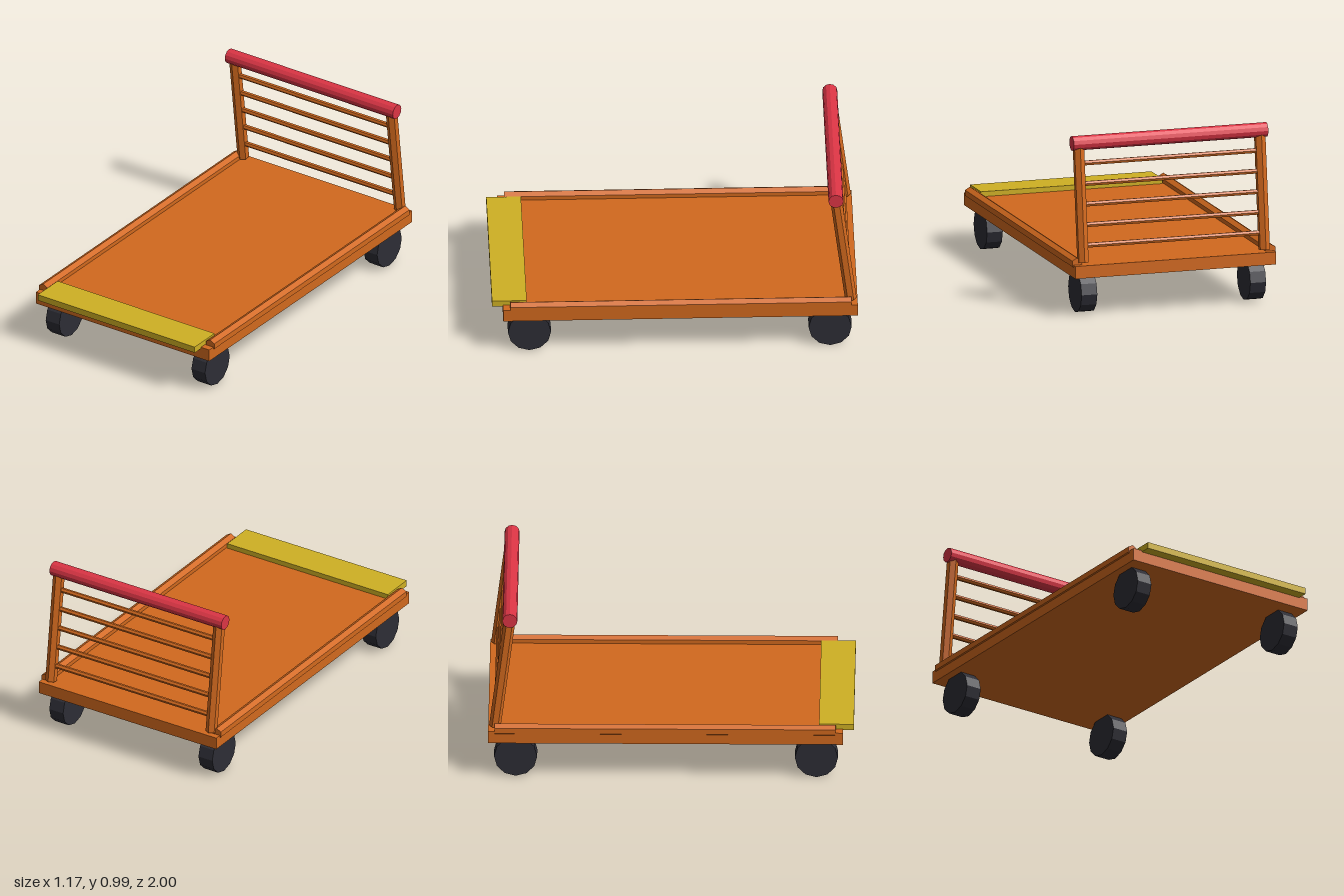
import * as THREE from 'three';

const mat = (name, color) => {
  const m = new THREE.MeshStandardMaterial({ color, flatShading: true });
  m.name = name;
  return m;
};

export function createModel() {
  const orange = mat('orange paint', 0xd2691e);
  const red = mat('red grip', 0xdc3545);
  const yellow = mat('yellow plate', 0xcfb024);
  const rubber = mat('dark rubber', 0x2d2d35);
  const cart = new THREE.Group();
  cart.name = 'platformCart';

  const add = (name, geometry, material, parent = cart) => {
    const mesh = new THREE.Mesh(geometry, material);
    mesh.name = name;
    parent.add(mesh);
    return mesh;
  };
  const box = (name, material, x, y, z, w, h, d) =>
    add(name, new THREE.BoxGeometry(w, h, d), material).position.set(x, y, z);
  // Faceted rod lying along x
  const rodX = (r, length, sides) =>
    new THREE.CylinderGeometry(r, r, length, sides).rotateZ(Math.PI / 2);

  // Deck and front bumper plate
  box('deck', orange, 0, 0.255, -0.03, 1.156, 0.07, 1.94);
  box('frontPlate', yellow, 0, 0.3, 0.905, 1.046, 0.036, 0.19);

  // Leaning push frame: origin at the foot of the posts, y runs up the posts
  const foot = new THREE.Vector3(0, 0.3, -0.963);
  const top = new THREE.Vector3(0, 0.953, -0.881);
  const length = foot.distanceTo(top);
  const frame = new THREE.Group();
  frame.name = 'pushFrame';
  frame.position.copy(foot);
  frame.rotation.x = Math.atan2(top.z - foot.z, top.y - foot.y);
  cart.add(frame);

  for (const side of [1, -1]) {
    const label = side > 0 ? 'left' : 'right';

    // Hexagonal side rail
    const rail = new THREE.CylinderGeometry(0.032, 0.032, 1.866, 6).rotateX(Math.PI / 2);
    add(label + 'Rail', rail, orange).position.set(side * 0.557, 0.297, -0.032);

    // Hexagonal post
    const post = new THREE.CylinderGeometry(0.032, 0.032, length, 6);
    add(label + 'Post', post, orange, frame).position.set(side * 0.522, length / 2, 0);

    // Wheels
    for (const [end, z] of [['Front', 0.795], ['Back', -0.85]]) {
      add(label + end + 'Wheel', rodX(0.118, 0.09, 12), rubber)
        .position.set(side * 0.486, 0.118, z);
    }
  }

  // Crossbars between the posts
  for (let i = 0; i < 5; i++) {
    const y = (0.393 + i * 0.1122 - foot.y) / Math.cos(frame.rotation.x);
    add('crossbar' + (i + 1), rodX(0.0145, 1.02, 6), orange, frame).position.y = y;
  }

  // Handle grip
  add('handle', rodX(0.041, 1.12, 12), red).position.copy(top);

  return cart;
}
